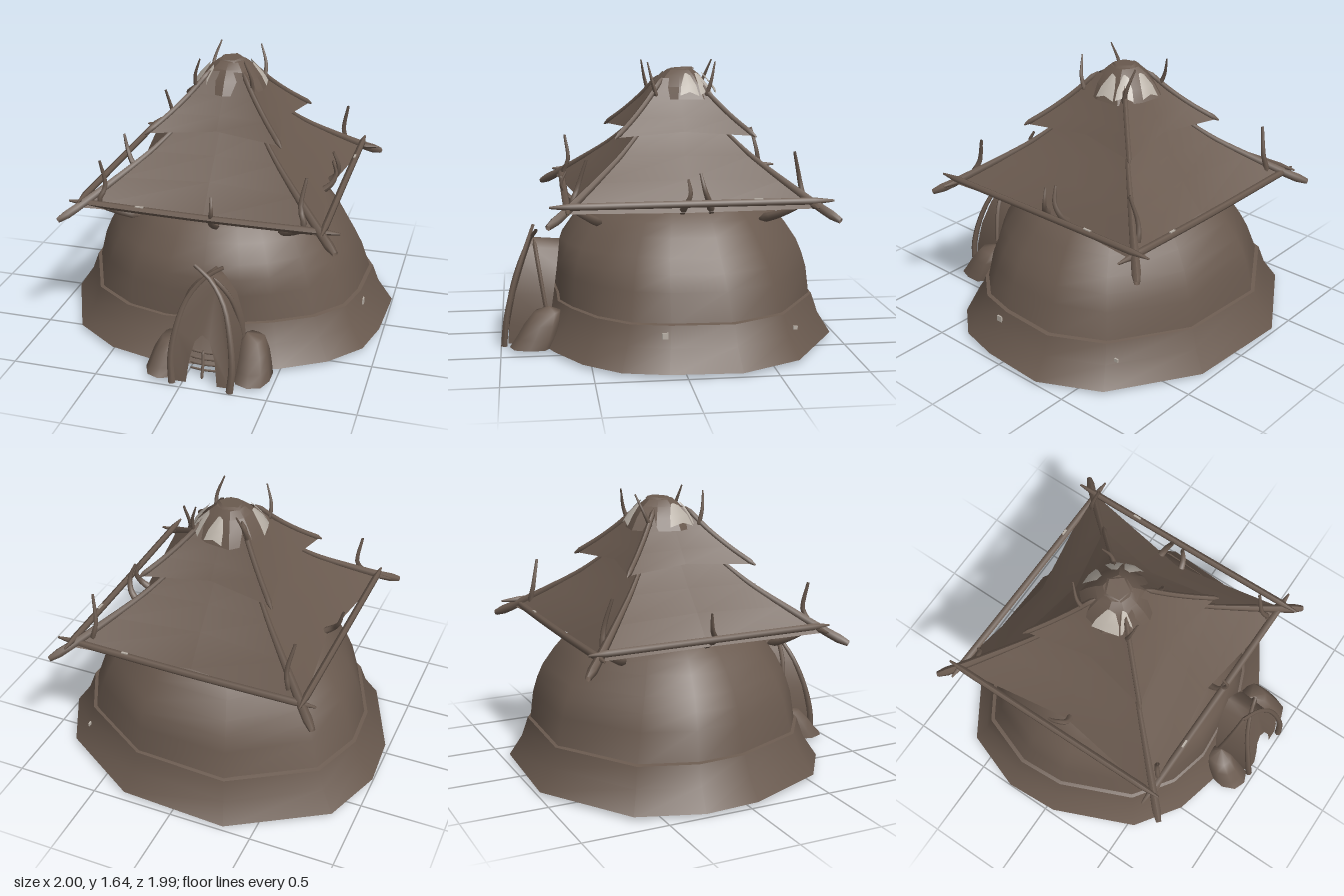
import * as THREE from 'three';
import { toCreasedNormals } from 'three/addons/utils/BufferGeometryUtils.js';

const V = (x, y, z) => new THREE.Vector3(x, y, z);
const CZ = -0.07; // z of the roof axis

// Skin a list of rings (lower to upper, counterclockwise from above)
function loft(rings, closed = true) {
  const n = rings[0].length, idx = [];
  for (let i = 0; i < rings.length - 1; i++) {
    for (let j = 0; j < (closed ? n : n - 1); j++) {
      const a = i * n + j, b = i * n + (j + 1) % n;
      idx.push(a, b, b + n, a, b + n, a + n);
    }
  }
  const geo = new THREE.BufferGeometry().setFromPoints(rings.flat());
  geo.setIndex(idx);
  geo.computeVertexNormals();
  return geo;
}

// Ellipse ring with a slight irregularity
function ring(cx, cz, y, rx, rz, n, wobble) {
  return Array.from({ length: n }, (_, i) => {
    const a = (i / n) * Math.PI * 2, k = 1 + wobble * Math.sin(i * 2.7);
    return V(cx + Math.sin(a) * rx * k, y, cz + Math.cos(a) * rz * k);
  });
}

// Tube along points whose thickness follows taper(t)
function stick(points, radius, taper, sides = 6) {
  const curve = new THREE.CatmullRomCurve3(points.map((p) => V(...p)));
  const segs = 14, geo = new THREE.TubeGeometry(curve, segs, radius, sides);
  const pos = geo.attributes.position, v = V(0, 0, 0);
  for (let i = 0; i < pos.count; i++) {
    const t = Math.floor(i / (sides + 1)) / segs, c = curve.getPointAt(t);
    v.fromBufferAttribute(pos, i).sub(c).multiplyScalar(taper(t)).add(c);
    pos.setXYZ(i, v.x, v.y, v.z);
  }
  geo.computeVertexNormals();
  return geo;
}
const pointed = (t) => Math.min(1, 0.3 + 10 * Math.min(t, 1 - t));
const thorn = (t) => (t === 0 ? 0.3 : 1 - 0.7 * t);

export function createModel() {
  const group = new THREE.Group();
  const hide = new THREE.MeshStandardMaterial({ color: 0x6a5a4f, side: THREE.DoubleSide });
  hide.name = 'brownHide';
  const pale = new THREE.MeshStandardMaterial({ color: 0xb8b0a6, side: THREE.DoubleSide });
  pale.name = 'paleStone';
  const add = (name, geo, mat = hide) => {
    const m = new THREE.Mesh(geo, mat);
    m.name = name;
    group.add(m);
    return m;
  };

  // Irregular ground outline shared by skirt and dome
  const foot = [[0.05, 0.78], [0.3, 0.78], [0.5, 0.7], [0.75, 0.55], [0.92, 0.35], [0.98, 0.1], [1, -0.3], [0.82, -0.65],
    [0.32, -0.96], [-0.33, -0.99], [-0.87, -0.65], [-1, -0.28], [-0.98, 0.05], [-0.77, 0.54], [-0.5, 0.73], [-0.22, 0.8]];
  const footRing = (y, k) => foot.map(([x, z]) => V(x * k, y, -0.1 + (z + 0.1) * k));

  // Flared skirt around the foot
  const skirt = [[0.03, 1], [0.15, 0.915], [0.265, 0.872], [0.272, 0.845]];
  add('skirt', toCreasedNormals(loft(skirt.map(([y, k]) => footRing(y, k))), 0.7));

  // Earth dome: follows the outline below and rounds off towards the top
  const dome = [[0.25, 0.856], [0.43, 0.805], [0.52, 0.765], [0.6, 0.72], [0.7, 0.65], [0.77, 0.59], [0.84, 0.5], [0.92, 0.34], [0.97, 0.15], [0.98, 0.001]];
  add('dome', loft(dome.map(([y, r]) => {
    const blend = THREE.MathUtils.clamp((y - 0.25) / 0.35, 0, 1);
    return footRing(y, r).map((p, i) => {
      const a = Math.atan2(foot[i][0], foot[i][1] + 0.1);
      return p.lerp(V(Math.sin(a) * r, y, -0.08 + Math.cos(a) * r), blend);
    });
  })));

  // Shallow ceiling closing the dome underneath
  add('underside', loft([[0.25, 0.87], [0.28, 0.6], [0.3, 0.3], [0.305, 0.001]].map(([y, k]) => footRing(y, k))));

  // Two hipped roofs whose sides sag inward between the corners
  const square = (h, y, bow, lift) => {
    const out = [];
    for (const [x, z] of [[-1, 1], [0, 1], [1, 1], [1, 0], [1, -1], [0, -1], [-1, -1], [-1, 0]]) {
      const corner = x && z, k = corner ? h : h * bow;
      out.push(V(x * k, y + (corner ? 0 : lift), CZ + z * k));
    }
    return out;
  };
  const roof = (name, rows) => add(name, toCreasedNormals(loft(rows.map((r) => square(...r))), 0.35));
  roof('lowerRoof', [[0.71, 0.865, 0.84, -0.03], [0.53, 1.0, 0.87, 0], [0.38, 1.12, 0.92, 0], [0.25, 1.25, 0.95, 0], [0.16, 1.36, 1, 0]]);
  roof('upperRoof', [[0.39, 1.235, 0.8, 0.02], [0.29, 1.33, 0.87, 0], [0.19, 1.43, 0.93, 0], [0.1, 1.55, 1, 0]]);

  // Crown with ragged top plate and pale patches
  const crown = [[1.43, 0.215], [1.5, 0.175], [1.56, 0.125], [1.595, 0.08], [1.6, 0.001]];
  add('crown', toCreasedNormals(loft(crown.map(([y, r]) => ring(0, -0.09, y, r, r, 9, 0.06))), 0.4));
  const plate = add('crownPlate', new THREE.CylinderGeometry(0.07, 0.085, 0.012, 5));
  plate.position.set(0, 1.6, -0.09);
  plate.rotation.set(0.05, 0.4, 0.04);
  for (const [deg, half] of [[-76, 22], [-42, 10], [98, 15], [130, 14], [174, 15]]) {
    const at = (d, r, y) => {
      const a = THREE.MathUtils.degToRad(deg + d);
      return V(Math.sin(a) * r, y, -0.09 + Math.cos(a) * r);
    };
    add('crownPatch', loft([
      [at(-half, 0.22, 1.455), at(0, 0.215, 1.475), at(half, 0.222, 1.45)],
      [at(-half * 0.9, 0.187, 1.51), at(0, 0.187, 1.515), at(half, 0.185, 1.51)],
      [at(-half * 0.3, 0.125, 1.575), at(0, 0.125, 1.58), at(half * 0.7, 0.135, 1.565)],
    ], false), pale);
  }

  // Eave poles
  for (const z of [0.61, -0.755]) add('eavePole', stick([[-0.78, 0.882, z - 0.01], [0, 0.872, z], [0.805, 0.88, z + 0.01]], 0.021, pointed));
  add('eavePole', stick([[-0.7, 0.905, 0.66], [-0.705, 0.905, -0.1], [-0.71, 0.905, -0.83]], 0.02, pointed));
  add('eavePole', stick([[0.72, 0.905, 0.72], [0.705, 0.905, -0.1], [0.695, 0.905, -0.86]], 0.02, pointed));

  // Hip rafters, one set on each roof corner
  for (const sx of [-1, 1]) {
    for (const sz of [-1, 1]) {
      const hip = (pts) => pts.map(([h, y]) => [sx * h, y, CZ + sz * h]);
      add('lowerRafter', stick(hip([[0.8, 0.81], [0.72, 0.86], [0.53, 1.0], [0.38, 1.12], [0.25, 1.25]]), 0.029, (t) => Math.min(1, 0.6 + 6 * t) * (1 - 0.6 * t)));
      add('upperRafter', stick(hip([[0.405, 1.23], [0.29, 1.33], [0.19, 1.435], [0.1, 1.55]]), 0.016, pointed));
      // Strut between dome top and roof
      add('strut', stick([[sx * 0.3, 0.86, CZ + sz * 0.25], [0, 1.12, CZ], [-sx * 0.08, 1.25, CZ - sz * 0.05]], 0.018, pointed));
    }
  }

  // Curved branches hooked over the eaves
  for (const s of [-1, 1]) {
    add('backBranch', stick([[s * 0.41, 0.755, -0.5], [s * 0.53, 0.81, -0.6], [s * 0.6, 0.89, -0.7], [s * 0.58, 1.0, -0.69], [s * 0.61, 1.17, -0.65]], 0.028, thorn));
    add('frontBranch', stick([[s * 0.42, 0.755, 0.42], [s * 0.53, 0.81, 0.5], [s * 0.6, 0.89, 0.59], [s * 0.57, 0.98, 0.56], [s * 0.59, 1.14, s < 0 ? 0.58 : 0.51]], 0.028, thorn));
  }
  const branches = [
    [[-0.52, 0.82, -0.06], [-0.62, 0.88, -0.04], [-0.67, 0.95, -0.08], [-0.7, 1.05, -0.1]],
    [[0.56, 0.83, -0.02], [0.63, 0.89, -0.04], [0.65, 0.95, -0.06], [0.63, 1.03, -0.05]],
    [[0.57, 0.83, -0.19], [0.63, 0.89, -0.17], [0.65, 0.97, -0.14], [0.62, 1.06, -0.12]],
    [[0.07, 0.77, 0.48], [0.06, 0.84, 0.58], [0.08, 0.93, 0.63], [0.07, 1.0, 0.6]],
  ];
  for (const b of branches) add('eaveBranch', stick(b, 0.024, thorn));
  // Crown thorns
  for (const [x, z, lean] of [[-0.15, 0.08, 0.05], [0.15, 0.07, 0.05], [-0.14, -0.21, -0.09], [0.15, -0.22, -0.06]]) {
    add('crownThorn', stick([[x * 1.1, 1.44, z], [x * 1.12, 1.53, z + lean * 0.5], [x * 0.87, 1.645, z + lean]], 0.015, thorn));
  }

  // Entrance hood: leaning front panel with an arched opening, and side skins
  const lean = (y) => 0.97 - 0.37 * Math.pow(Math.max(y, 0), 1.8);
  const DX = 0.115;
  const arch = [[0.165, 0.02], [0.172, 0.15], [0.155, 0.32], [0.11, 0.48], [0.05, 0.57], [0, 0.62]];
  const full = [...arch.map(([x, y]) => [DX - x, y]), ...arch.slice(0, -1).reverse().map(([x, y]) => [DX + x, y])];
  const inner = [[0.205, 0.02], [0.19, 0.17], [0.155, 0.28], [0.11, 0.31], [0.07, 0.27], [0.045, 0.17], [0.025, 0.02]];
  const panel = new THREE.ShapeGeometry(new THREE.Shape([...full, ...inner].map((p) => new THREE.Vector2(...p))));
  const pp = panel.attributes.position;
  for (let i = 0; i < pp.count; i++) pp.setZ(i, lean(pp.getY(i)) - 0.01);
  panel.computeVertexNormals();
  add('entrancePanel', panel);
  add('entranceHood', loft([
    full.map(([x, y]) => V(x, y, lean(y) - 0.01)),
    full.map(([x, y]) => V(DX + (x - DX) * 1.15, y * 0.98, 0.74 - 0.15 * y)),
  ], false));
  // Crossed entrance poles, front and rear pairs
  for (const s of [-1, 1]) {
    const bow = [[0.17, 0.01], [0.18, 0.15], [0.16, 0.32], [0.11, 0.49], [0.02, 0.61], [-0.08, 0.675]];
    add('entrancePole', stick(bow.map(([x, y]) => [DX + s * x, y, lean(y) + 0.005 + s * 0.008]), 0.021, (t) => 1 - 0.5 * t));
    add('rearEntrancePole', stick(bow.slice(1, 5).map(([x, y]) => [DX + s * (x + 0.008), y, 0.7 + 0.16 * y]), 0.014, pointed));
  }

  // Small ladder in the opening
  for (const y of [0.06, 0.09, 0.12, 0.155]) {
    add('rung', stick([[0.02, y, 0.88 - y * 0.3], [0.115, y - 0.004, 0.885 - y * 0.3], [0.21, y, 0.88 - y * 0.3]], 0.007, pointed, 5));
  }
  add('ladderRail', stick([[0.1, 0.015, 0.9], [0.1, 0.09, 0.875], [0.095, 0.17, 0.85]], 0.009, pointed, 5));

  // Earth mounds flanking the entrance, sloping back up to the dome
  for (const [x, z, rx, top] of [[-0.135, 0.85, 0.105, 0.21], [0.375, 0.82, 0.11, 0.25]]) {
    const rows = [[0.03, 1, 0], [0.35, 0.92, -0.03], [0.65, 0.8, -0.06], [0.92, 0.6, -0.09], [1, 0.01, -0.1]];
    add('mound', loft(rows.map(([f, k, dz], i) =>
      ring(x - Math.sign(x) * (1 - k) * 0.06, z + dz, i ? f * top : 0.03, rx * k, 0.13 * k, 9, 0.07))));
  }

  // Pale flecks on the skirt and eave poles
  for (const [x, y, z, w, h, d] of [[0.877, 0.215, 0.11, 0.009, 0.035, 0.035], [0.71, 0.185, -0.65, 0.009, 0.02, 0.025],
    [0.37, 0.899, -0.755, 0.04, 0.006, 0.012], [-0.35, 0.896, 0.61, 0.05, 0.006, 0.012], [0.7, 0.925, -0.43, 0.012, 0.006, 0.05]]) {
    add('paleFleck', new THREE.BoxGeometry(w, h, d), pale).position.set(x, y, z);
  }
  return group;
}
